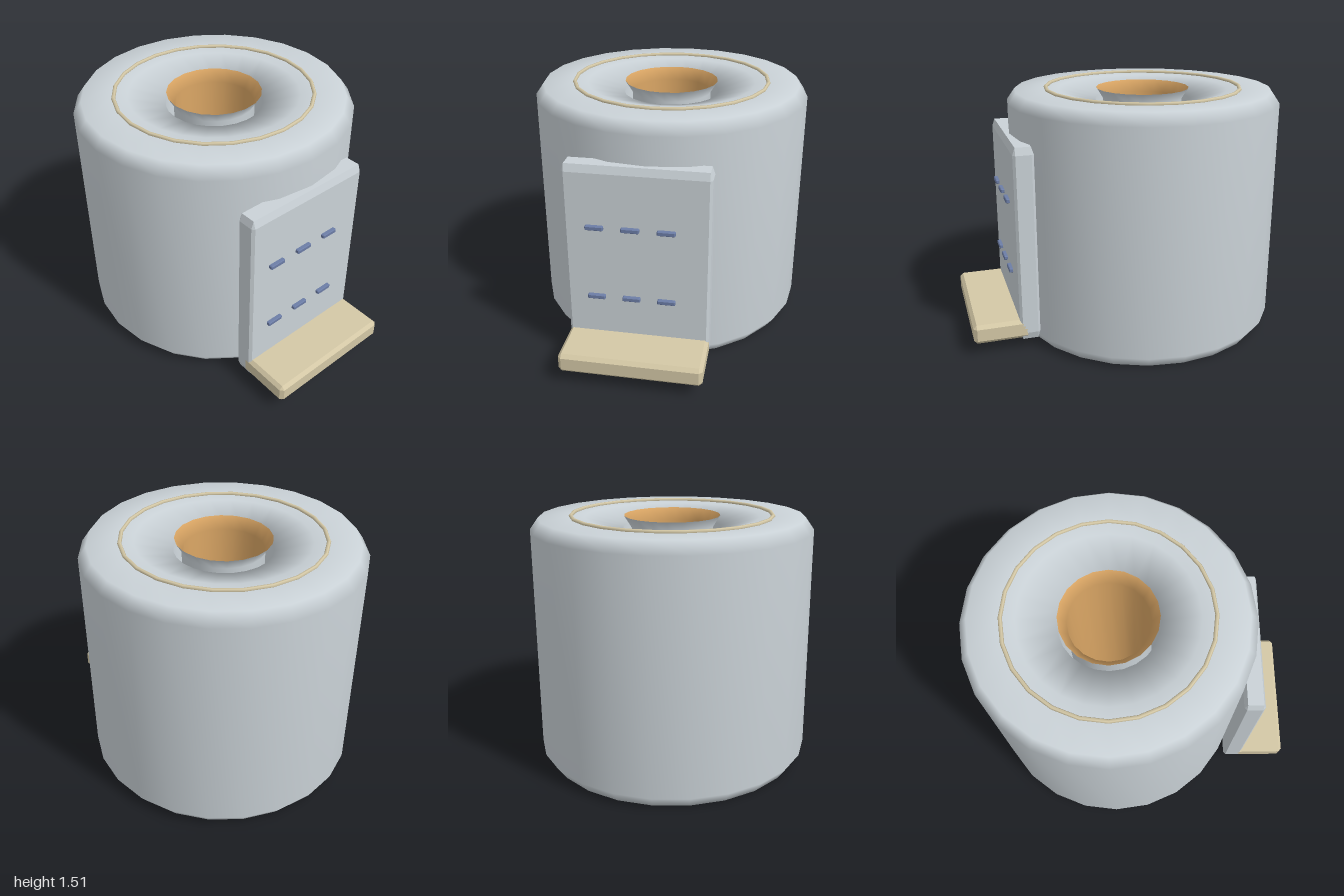
import * as THREE from 'three';
import { ConvexGeometry } from 'three/addons/geometries/ConvexGeometry.js';

const mat = (name, color) => new THREE.MeshStandardMaterial({ name, color });

// Box between two corners with its edges cut by a chamfer per axis
function chamferBox([x0, y0, z0], [x1, y1, z1], c) {
  const half = [(x1 - x0) / 2, (y1 - y0) / 2, (z1 - z0) / 2];
  const points = [];
  for (let axis = 0; axis < 3; axis++) {
    for (const sx of [-1, 1]) for (const sy of [-1, 1]) for (const sz of [-1, 1]) {
      const s = [sx, sy, sz];
      points.push(new THREE.Vector3(...half.map((h, i) => s[i] * (i === axis ? h : h - c[i]))));
    }
  }
  return new ConvexGeometry(points).translate((x0 + x1) / 2, (y0 + y1) / 2, (z0 + z1) / 2);
}

const lathe = (profile, sides) =>
  new THREE.LatheGeometry(profile.map(([r, y]) => new THREE.Vector2(r, y)), sides);

export function createModel() {
  const grey = mat('paperGrey', 0xcad2d7);
  const tan = mat('warmTan', 0xd4c8a6);
  const orange = mat('cardboardOrange', 0xd9a564);
  const blue = mat('slateBlue', 0x6c7da6);

  const model = new THREE.Group();
  const add = (name, geometry, material, parent = model) => {
    const mesh = new THREE.Mesh(geometry, material);
    mesh.name = name;
    parent.add(mesh);
    return mesh;
  };

  const roll = new THREE.Group();
  roll.name = 'roll';
  roll.position.x = -0.16;
  model.add(roll);

  // Hollow roll with bevelled rims and ends dished towards the hole
  add('rollBody', lathe([
    [0.295, 0.07], [0.52, 0.005], [0.62, 0], [0.79, 0], [0.84, 0.07],
    [0.84, 1.43], [0.79, 1.5], [0.62, 1.5], [0.52, 1.495], [0.295, 1.43], [0.295, 0.07],
  ], 24), grey, roll);

  // Core tube, flared at both ends: orange inside, grey outside
  add('coreInside', lathe([[0.288, 1.5], [0.24, 1.43], [0.24, 0.07], [0.288, 0]], 20), orange, roll);
  add('coreOutside', lathe([[0.288, 0], [0.245, 0.07], [0.245, 1.43], [0.288, 1.5]], 20), grey, roll);

  // Thin ring on the top
  const ring = add('topRing', new THREE.TorusGeometry(0.6, 0.012, 6, 24), tan, roll);
  ring.rotation.x = Math.PI / 2;
  ring.position.y = 1.504;

  // Upright panel at the side with a shelf at its foot
  add('sidePanel', chamferBox([0.6, 0.065, -0.368], [0.722, 1.26, 0.468], [0.015, 0.045, 0.015]), grey);
  add('shelf', chamferBox([0.66, 0.075, -0.368], [1, 0.195, 0.468], [0.02, 0.022, 0.02]), tan);

  // Two rows of three marks on the panel
  for (const y of [0.89, 0.442]) {
    for (const z of [0.29, 0.085, -0.12]) {
      add('panelMark', chamferBox([0.718, y - 0.013, z - 0.052], [0.745, y + 0.013, z + 0.052],
        [0.004, 0.004, 0.006]), blue);
    }
  }
  return model;
}
